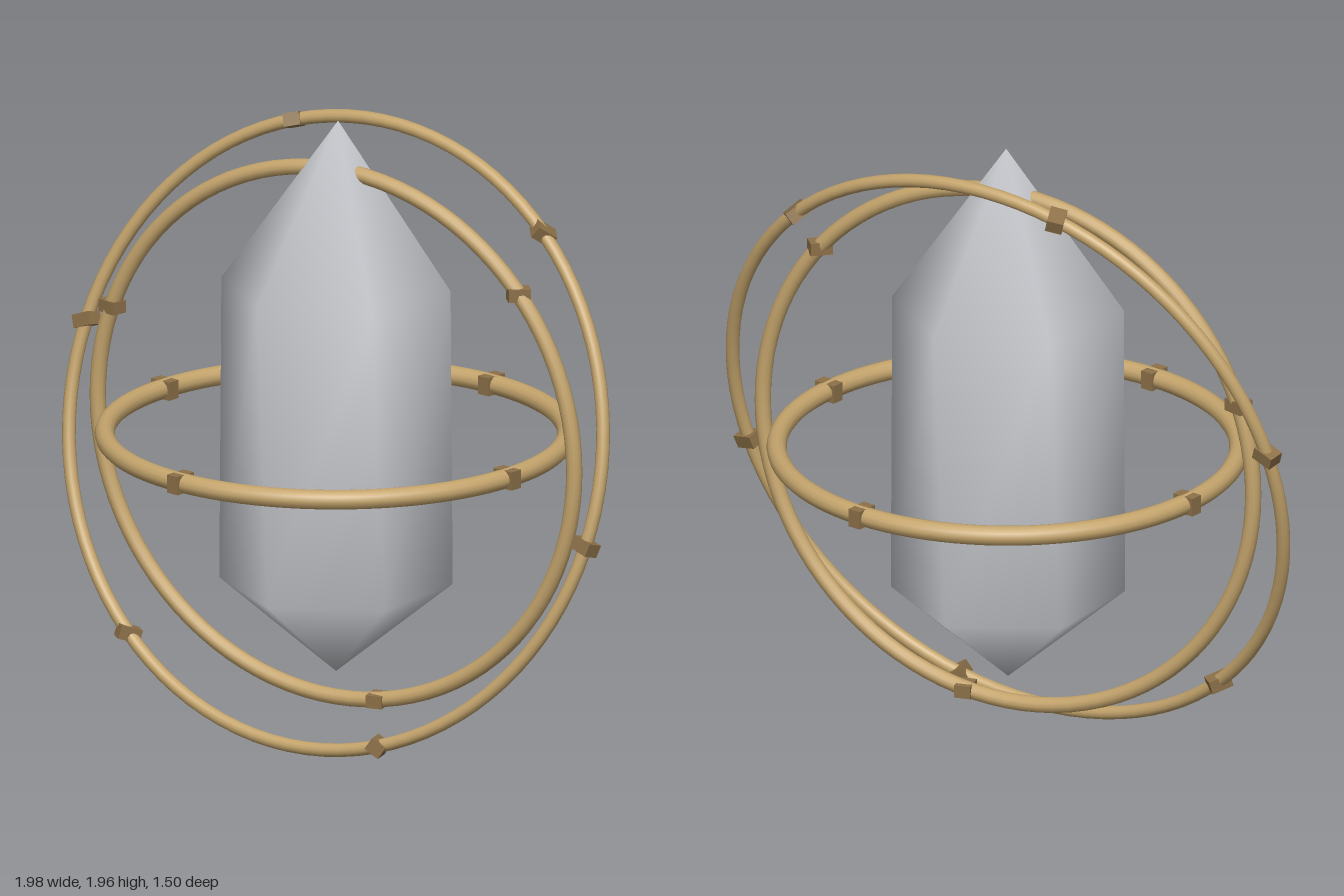
import * as THREE from 'three';

const RAD = Math.PI / 180;
const CENTER_Y = 0.973;

const crystalMat = new THREE.MeshStandardMaterial({ color: 0xc9cbd0 });
crystalMat.name = 'pale crystal';
const brassMat = new THREE.MeshStandardMaterial({ color: 0xc4a46c });
brassMat.name = 'brass';
const bronzeMat = new THREE.MeshStandardMaterial({ color: 0x8c7048 });
bronzeMat.name = 'dark bronze';

// Six-sided crystal with a slight twist, pointed at both ends, smooth normals
function makeCrystal() {
  const n = 6, r = 0.36;
  const pos = [0, 0.21, 0];
  for (const [y, twist] of [[0.5, 6.5], [1.45, 0]]) {
    for (let i = 0; i < n; i++) {
      const a = (i * 60 + twist) * RAD;
      pos.push(r * Math.sin(a), y, r * Math.cos(a));
    }
  }
  pos.push(-0.005, 1.97, -0.015);
  const index = [];
  for (let i = 0; i < n; i++) {
    const j = (i + 1) % n;
    const a = 1 + i, b = 1 + j, c = 1 + n + j, d = 1 + n + i;
    index.push(0, b, a, a, b, c, a, c, d, d, c, 1 + 2 * n);
  }
  const geo = new THREE.BufferGeometry();
  geo.setAttribute('position', new THREE.Float32BufferAttribute(pos, 3));
  geo.setIndex(index);
  geo.computeVertexNormals();
  const mesh = new THREE.Mesh(geo, crystalMat);
  mesh.name = 'crystal';
  return mesh;
}

// Ring in its local xy plane, with small blocks spaced evenly around it
function makeRing(name, radius, tube, count, startAngle, blockSize, turnBlock) {
  const group = new THREE.Group();
  group.name = name;
  group.position.y = CENTER_Y;
  const band = new THREE.Mesh(new THREE.TorusGeometry(radius, tube, 12, 96), brassMat);
  band.name = name + 'Band';
  group.add(band);
  const geo = new THREE.BoxGeometry(...blockSize);
  for (let i = 0; i < count; i++) {
    const a = (startAngle + (i * 360) / count) * RAD;
    const block = new THREE.Mesh(geo, bronzeMat);
    block.name = name + 'Block';
    block.position.set(radius * Math.cos(a), radius * Math.sin(a), 0);
    turnBlock(block, a, i);
    group.add(block);
  }
  return group;
}

export function createModel() {
  const model = new THREE.Group();
  model.name = 'ringedCrystal';
  model.add(makeCrystal());

  // Level ring
  const level = makeRing('levelRing', 0.71, 0.031, 4, 0, [0.075, 0.043, 0.058],
    (block, a) => { block.rotation.z = a; });
  level.rotation.x = -Math.PI / 2;
  model.add(level);

  // Upright ring, turned a little about the vertical
  const upright = makeRing('uprightRing', 0.845, 0.025, 3, 40, [0.07, 0.04, 0.052],
    (block, a) => { block.rotation.y = a; });
  upright.rotation.y = 12.2 * RAD;
  model.add(upright);

  // Outer tilted ring
  const tilts = [-35, 20, 20, -10, -30, -15];
  const outer = makeRing('outerRing', 0.974, 0.021, 6, 49.3, [0.07, 0.042, 0.052],
    (block, a, i) => { block.rotation.set(0, a, tilts[i] * RAD, 'ZYX'); });
  outer.quaternion.setFromUnitVectors(
    new THREE.Vector3(0, 0, 1), new THREE.Vector3(0.149, 0.252, 1).normalize());
  model.add(outer);

  return model;
}
